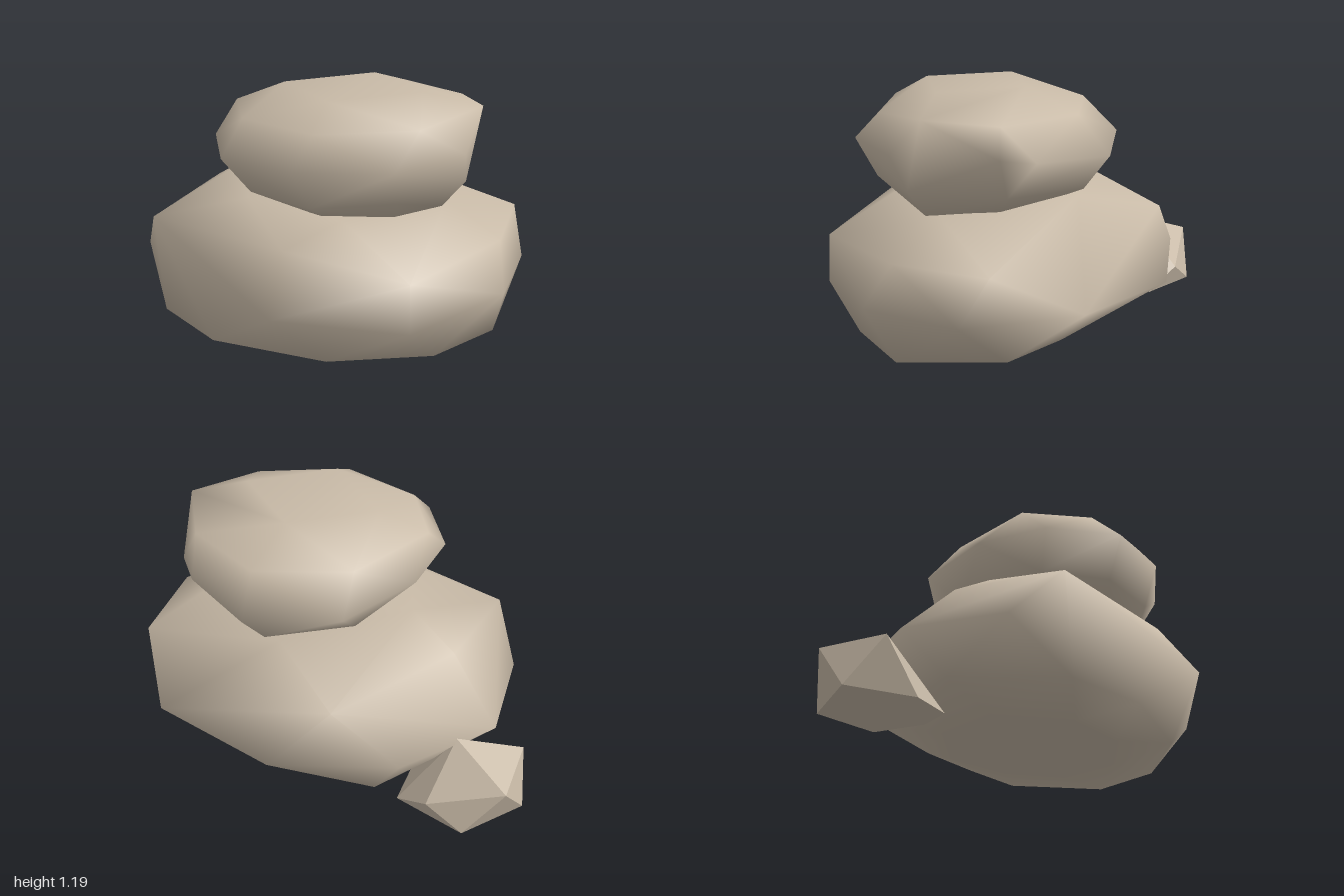
import * as THREE from 'three';
import { ConvexGeometry } from 'three/addons/geometries/ConvexGeometry.js';
import { mergeVertices } from 'three/addons/utils/BufferGeometryUtils.js';

// Faceted hull through a few corner points
function rock(points) {
  return new ConvexGeometry(points.map((p) => new THREE.Vector3(...p)));
}

// The same hull with shared corners, so it shades as a smooth boulder
function boulder(points) {
  const hull = rock(points);
  hull.deleteAttribute('normal');
  const geometry = mergeVertices(hull, 0.001);
  geometry.computeVertexNormals();
  return geometry;
}

export function createModel() {
  const group = new THREE.Group();
  const stone = new THREE.MeshStandardMaterial({ color: 0xc8baa7 });
  stone.name = 'warm grey stone';

  const add = (name, geometry) => {
    const mesh = new THREE.Mesh(geometry, stone);
    mesh.name = name;
    group.add(mesh);
  };

  // Wide lower boulder, its top sloping down towards +x
  add('lowerBoulder', boulder([
    // underside
    [-0.4, 0.04, 0], [-0.2, 0.04, 0.32], [0.1, 0.035, 0.42], [0.45, 0.04, 0.3],
    [0.56, 0.04, 0], [0.4, 0.04, -0.25], [0.1, 0.04, -0.41], [-0.25, 0.04, -0.3],
    // lower shoulder
    [-0.7, 0.11, -0.08], [-0.6, 0.075, 0.44], [-0.26, 0.06, 0.63], [0.3, 0.06, 0.64],
    [0.74, 0.065, 0.43], [0.94, 0.07, 0.1], [0.74, 0.08, -0.34], [0.44, 0.09, -0.46],
    [0.02, 0.055, -0.5], [-0.33, 0.1, -0.6],
    // waist
    [0.11, 0.32, -0.83], [0.71, 0.36, -0.69], [1, 0.32, -0.25], [1, 0.32, 0.22],
    [0.68, 0.26, 0.64], [0.11, 0.32, 0.83], [-0.79, 0.32, 0.23], [-0.81, 0.32, -0.25],
    [-0.46, 0.32, -0.65],
    // upper shoulder
    [-0.65, 0.55, 0.43], [0.1, 0.57, 0.65], [0.67, 0.49, 0.63], [0.95, 0.53, 0.1],
    [0.93, 0.54, -0.36], [-0.15, 0.59, -0.69], [-0.56, 0.6, -0.12],
    // top
    [-0.33, 0.75, -0.05], [-0.18, 0.69, 0.38], [0.3, 0.66, 0.44], [0.67, 0.66, 0.02],
    [0.2, 0.7, -0.42],
  ]));

  // Smaller boulder resting on top
  add('upperBoulder', boulder([
    // underside
    [0.67, 0.66, 0.1], [0.5, 0.655, 0.3], [0.2, 0.65, 0.4], [-0.06, 0.69, 0.08],
    [0.2, 0.68, -0.33], [0.5, 0.67, -0.18],
    // lower shoulder
    [0.78, 0.8, 0.12], [0.55, 0.77, 0.43], [0.2, 0.75, 0.57], [-0.12, 0.76, 0.48],
    [-0.29, 0.77, 0.2], [-0.12, 0.77, -0.28], [0.25, 0.75, -0.47], [0.6, 0.77, -0.27],
    // waist
    [0.29, 0.93, -0.61], [0.62, 0.95, -0.42], [0.72, 0.97, -0.3], [0.82, 1.13, 0.02],
    [0.79, 0.95, 0.2], [0.56, 0.94, 0.54], [0.14, 0.935, 0.65], [-0.22, 0.93, 0.57],
    [-0.39, 0.94, 0.26], [-0.35, 0.95, -0.1], [-0.13, 0.94, -0.47],
    // upper shoulder
    [-0.34, 1.08, 0.12], [-0.18, 1.08, 0.42], [0.2, 1.08, 0.55], [0.62, 1.09, 0.36],
    [0.66, 1.1, -0.27], [0.3, 1.1, -0.46], [-0.12, 1.09, -0.3],
    // top
    [-0.11, 1.175, 0.08], [0.2, 1.18, 0.37], [0.56, 1.19, 0.1], [0.25, 1.19, -0.18],
  ]));

  // Small faceted rock half tucked under the back corner
  add('smallRock', rock([
    [-1, 0.01, -0.4], [-0.77, 0, -0.65], [-0.43, 0.02, -0.56],
    [-0.44, 0.02, -0.3], [-0.56, 0.01, -0.15], [-0.78, 0.005, -0.17],
    [-0.95, 0.23, -0.24], [-0.94, 0.22, -0.56], [-0.59, 0.12, -0.64], [-0.66, 0.34, -0.4],
  ]));

  return group;
}
